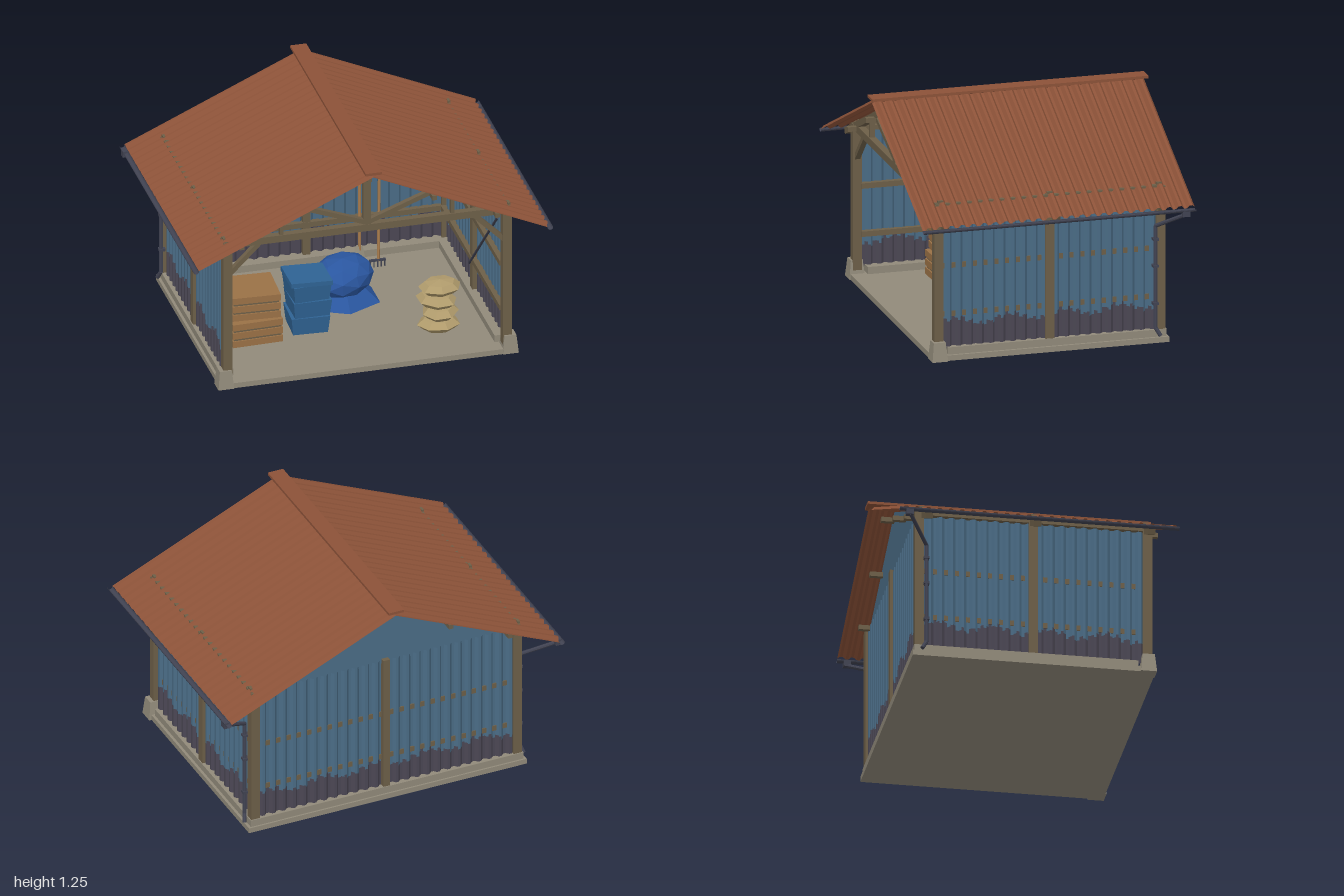
import * as THREE from 'three';

const mat = (name, color, side = THREE.FrontSide) => {
  const m = new THREE.MeshStandardMaterial({ color, side, flatShading: true });
  m.name = name;
  return m;
};

export function createModel() {
  const root = new THREE.Group();
  root.name = 'shed';
  const M = {
    blue: mat('blueSheet', 0x4a6c86, THREE.DoubleSide),
    stain: mat('weatheredSheet', 0x4b4754, THREE.DoubleSide),
    roof: mat('rustRoof', 0x8c5238, THREE.DoubleSide),
    wood: mat('agedTimber', 0x6d5f48),
    concrete: mat('concrete', 0x918a7a),
    metal: mat('darkMetal', 0x414352),
    crate: mat('crateWood', 0x9a7146),
    bin: mat('binBlue', 0x2f6394),
    tarp: mat('tarpBlue', 0x2a569f, THREE.DoubleSide),
    sack: mat('sackCloth', 0xb09b6c),
  };
  const V = (x, y, z) => new THREE.Vector3(x, y, z);
  const add = (name, geo, material, x = 0, y = 0, z = 0, parent = root) => {
    const m = new THREE.Mesh(geo, material);
    m.name = name;
    m.position.set(x, y, z);
    parent.add(m);
    return m;
  };
  const box = (name, material, w, h, d, x, y, z, parent) =>
    add(name, new THREE.BoxGeometry(w, h, d), material, x, y, z, parent);
  // Square bar between two points
  const beam = (name, material, a, b, w, h = w) => {
    const m = box(name, material, w, h, a.distanceTo(b), 0, 0, 0);
    m.position.copy(a).add(b).multiplyScalar(0.5);
    m.lookAt(b);
    return m;
  };
  // Round bar between two points
  const rod = (name, material, a, b, r, sides = 8) => {
    const m = add(name, new THREE.CylinderGeometry(r, r, a.distanceTo(b), sides), material);
    m.position.copy(a).add(b).multiplyScalar(0.5);
    m.quaternion.setFromUnitVectors(V(0, 1, 0), b.clone().sub(a).normalize());
    return m;
  };
  // Ribbed sheet: ribs run along y, relief along z; split(i) gives the height between two groups
  const ribbed = (width, count, amp, y0, y1, split) => {
    const pts = [];
    const pitch = width / count;
    for (let i = 0; i < count; i++) {
      [[0, -1], [0.25, -1], [0.5, 1], [0.75, 1]].forEach(([t, s]) =>
        pts.push([-width / 2 + (i + t) * pitch, s * amp]));
    }
    pts.push([width / 2, -amp]);
    const pos = [];
    const geo = new THREE.BufferGeometry();
    const rows = split ? [[() => y0, split], [split, () => y1]] : [[() => y0, () => y1]];
    rows.forEach(([lo, hi], g) => {
      const start = pos.length / 3;
      for (let i = 0; i < pts.length - 1; i++) {
        const [ax, az] = pts[i], [bx, bz] = pts[i + 1];
        const l = lo(i), h = hi(i);
        pos.push(ax, l, az, bx, l, bz, bx, h, bz, ax, l, az, bx, h, bz, ax, h, az);
      }
      geo.addGroup(start, pos.length / 3 - start, g);
    });
    geo.setAttribute('position', new THREE.Float32BufferAttribute(pos, 3));
    geo.computeVertexNormals();
    return geo;
  };

  // Slab, kerbs and front footings
  box('slab', M.concrete, 1.64, 0.03, 1.32, 0, 0.015, 0);
  box('backKerb', M.concrete, 1.6, 0.04, 0.09, 0, 0.05, -0.605);
  for (const s of [-1, 1]) {
    box('sideKerb', M.concrete, 0.08, 0.04, 1.22, s * 0.765, 0.05, -0.04);
    const foot = new THREE.CylinderGeometry(0.047, 0.062, 0.105, 4).rotateY(Math.PI / 4);
    add('footing', foot, M.concrete, s * 0.79, 0.0525, 0.622);
  }

  // Ribbed walls with a stained lower band
  const stainTop = (i) => 0.205 + 0.022 * Math.sin(i * 0.31) + 0.014 * Math.sin(i * 1.9);
  const wallMats = [M.stain, M.blue];
  for (const s of [-1, 1]) {
    const wall = add('sideWall', ribbed(1.2, 20, 0.008, 0.06, 0.86, stainTop), wallMats, s * 0.778, 0, 0);
    wall.rotation.y = s * Math.PI / 2;
  }
  const back = add('backWall', ribbed(1.52, 25, 0.008, 0.06, 0.86, stainTop), wallMats, 0, 0, -0.625);
  back.rotation.y = Math.PI;
  const gable = new THREE.Shape();
  gable.moveTo(-0.79, 0.84);
  gable.lineTo(0.79, 0.84);
  gable.lineTo(0.79, 0.87);
  gable.lineTo(0, 1.22);
  gable.lineTo(-0.79, 0.87);
  add('backGable', new THREE.ShapeGeometry(gable), M.blue, 0, 0, -0.618);

  // Posts, rails and plates
  for (const s of [-1, 1]) {
    for (const z of [-0.62, 0, 0.62]) box('post', M.wood, 0.05, 0.82, 0.05, s * 0.775, 0.46, z);
    for (const y of [0.25, 0.52]) box('sideRail', M.wood, 0.03, 0.03, 1.2, s * 0.759, y, 0);
    box('wallPlate', M.wood, 0.045, 0.035, 1.27, s * 0.775, 0.857, 0);
    rod('wallTie', M.metal, V(s * 0.74, 0.78, 0.57), V(s * 0.74, 0.22, 0.0), 0.007, 6);
  }
  box('backPost', M.wood, 0.04, 0.82, 0.05, 0, 0.46, -0.62);
  for (const y of [0.25, 0.52]) box('backRail', M.wood, 1.52, 0.03, 0.03, 0, y, -0.608);

  // Roof trusses
  const slope = 0.448;
  for (const z of [0.62, 0, -0.59]) {
    box('tieBeam', M.wood, 1.58, 0.04, 0.04, 0, 0.857, z);
    box('kingPost', M.wood, 0.04, 0.33, 0.036, 0, 1.03, z);
    for (const s of [-1, 1]) {
      beam('rafter', M.wood, V(0, 1.197, z), V(s * 0.93, 1.197 - slope * 0.93, z), 0.04, 0.035);
      beam('strut', M.wood, V(0, 0.885, z), V(s * 0.37, 1.025, z), 0.03, 0.026);
      box('webPost', M.wood, 0.02, 0.11, 0.03, s * 0.475, 0.92, z);
      beam('kneeBrace', M.wood, V(s * 0.765, 0.675, z), V(s * 0.59, 0.85, z), 0.03, 0.026);
    }
  }

  // Purlins
  for (const [x, y] of [[0, 1.17], [0.36, 1.012], [-0.36, 1.012], [0.71, 0.858], [-0.71, 0.858]]) {
    box('purlin', M.wood, 0.026, 0.026, 1.38, x, y, 0);
  }

  // Ribbed roof slopes, ridge cap and fixings
  const c = Math.cos(Math.atan(slope)), n = Math.sin(Math.atan(slope));
  for (const s of [-1, 1]) {
    const sheet = add('roofSlope', ribbed(1.52, 25, 0.009, 0, 0.97 / c, null), M.roof);
    const basis = new THREE.Matrix4().makeBasis(V(0, 0, -s), V(-s * c, n, 0), V(s * n, c, 0));
    sheet.quaternion.setFromRotationMatrix(basis);
    sheet.position.set(s * 0.972, 0.796, 0);
    for (const z of [-0.61, 0, 0.61]) box('roofFixing', M.wood, 0.014, 0.012, 0.03, s * 0.79, 0.886, z);
  }
  box('ridgeCap', M.roof, 0.09, 0.015, 1.54, 0, 1.246, 0);

  // Gutters and downpipes
  for (const s of [-1, 1]) {
    const trough = new THREE.CylinderGeometry(0.016, 0.016, 1.52, 10, 1, true, Math.PI / 2, Math.PI);
    const gutterMat = M.metal;
    gutterMat.side = THREE.DoubleSide;
    const gutter = add('gutter', trough.rotateX(Math.PI / 2).rotateZ(0), gutterMat, s * 0.983, 0.786, 0);
    gutter.name = 'gutter';
    // Keep the open side of the trough upward
    trough.computeBoundingBox();
    if (trough.boundingBox.min.y > -0.015) {
      trough.rotateZ(trough.boundingBox.max.y > 0.015 && trough.boundingBox.min.y > -0.001 ? Math.PI
        : trough.boundingBox.min.x < -0.015 ? Math.PI / 2 : -Math.PI / 2);
    }
    box('hopper', M.metal, 0.034, 0.035, 0.04, s * 0.98, 0.765, -0.705);
    const path = [V(s * 0.98, 0.755, -0.7), V(s * 0.812, 0.655, -0.585),
      V(s * 0.812, 0.085, -0.585), V(s * 0.825, 0.04, -0.61)];
    for (let i = 0; i < 3; i++) rod('downpipe', M.metal, path[i], path[i + 1], 0.011);
    for (const y of [0.22, 0.43, 0.58]) box('pipeClamp', M.metal, 0.036, 0.014, 0.03, s * 0.808, y, -0.585);
  }

  // Stacked slatted crates
  [[-0.51, 0.03, 0.13, 0.28, 0.03], [-0.505, 0.18, 0.13, 0.265, -0.05]].forEach(([x, y, z, w, turn]) => {
    const crate = new THREE.Group();
    crate.name = 'crate';
    crate.position.set(x, y, z);
    crate.rotation.y = turn;
    root.add(crate);
    box('crateCore', M.wood, w - 0.016, 0.135, w - 0.016, 0, 0.0675, 0, crate);
    for (let i = 0; i < 3; i++) box('crateSlats', M.crate, w, 0.037, w, 0, 0.021 + i * 0.05, 0, crate);
  });

  // Nested blue bins with a lid
  for (let i = 0; i < 3; i++) {
    const bin = new THREE.CylinderGeometry(0.15, 0.135, 0.1, 4).rotateY(Math.PI / 4);
    add('bin', bin, M.bin, -0.195 + 0.006 * (i % 2), 0.08 + i * 0.095, 0.12).rotation.y = 0.05 * (i - 1);
  }
  box('binLid', M.bin, 0.23, 0.025, 0.22, -0.195, 0.333, 0.12).rotation.z = -0.04;

  // Tarpaulin bundle and its loose skirt
  const bundle = add('tarpBundle', new THREE.IcosahedronGeometry(1, 1), M.tarp, 0.07, 0.172, -0.13);
  bundle.scale.set(0.18, 0.11, 0.15);
  bundle.rotation.set(0.1, 0.4, 0.05);
  const skirt = add('tarpSkirt', new THREE.CylinderGeometry(0.11, 0.22, 0.1, 6, 1, true), M.tarp, 0.065, 0.08, -0.13);
  skirt.scale.z = 0.85;

  // Sacks
  for (let i = 0; i < 4; i++) {
    const sack = add('sack', new THREE.SphereGeometry(1, 7, 4), M.sack,
      0.475 + 0.012 * Math.sin(i * 2.3), 0.07 + i * 0.073, 0.345);
    sack.scale.set(0.12, 0.042, 0.1);
    sack.rotation.y = i * 1.1;
  }

  // Shovel and fork leaning on the back wall
  rod('shovelHandle', M.crate, V(0.262, 0.12, -0.48), V(0.288, 0.51, -0.58), 0.009);
  box('shovelGrip', M.metal, 0.05, 0.012, 0.014, 0.288, 0.515, -0.58);
  const blade = add('shovelBlade', new THREE.CylinderGeometry(0.022, 0.038, 0.11, 4), M.concrete, 0.258, 0.087, -0.47);
  blade.scale.z = 0.25;
  blade.rotation.x = -0.25;
  rod('forkHandle', M.crate, V(0.355, 0.06, -0.44), V(0.4, 0.53, -0.585), 0.008);
  box('forkHead', M.metal, 0.09, 0.012, 0.012, 0.35, 0.068, -0.44);
  for (let i = 0; i < 5; i++) box('forkTine', M.metal, 0.006, 0.04, 0.006, 0.31 + i * 0.02, 0.05, -0.436);

  return root;
}
